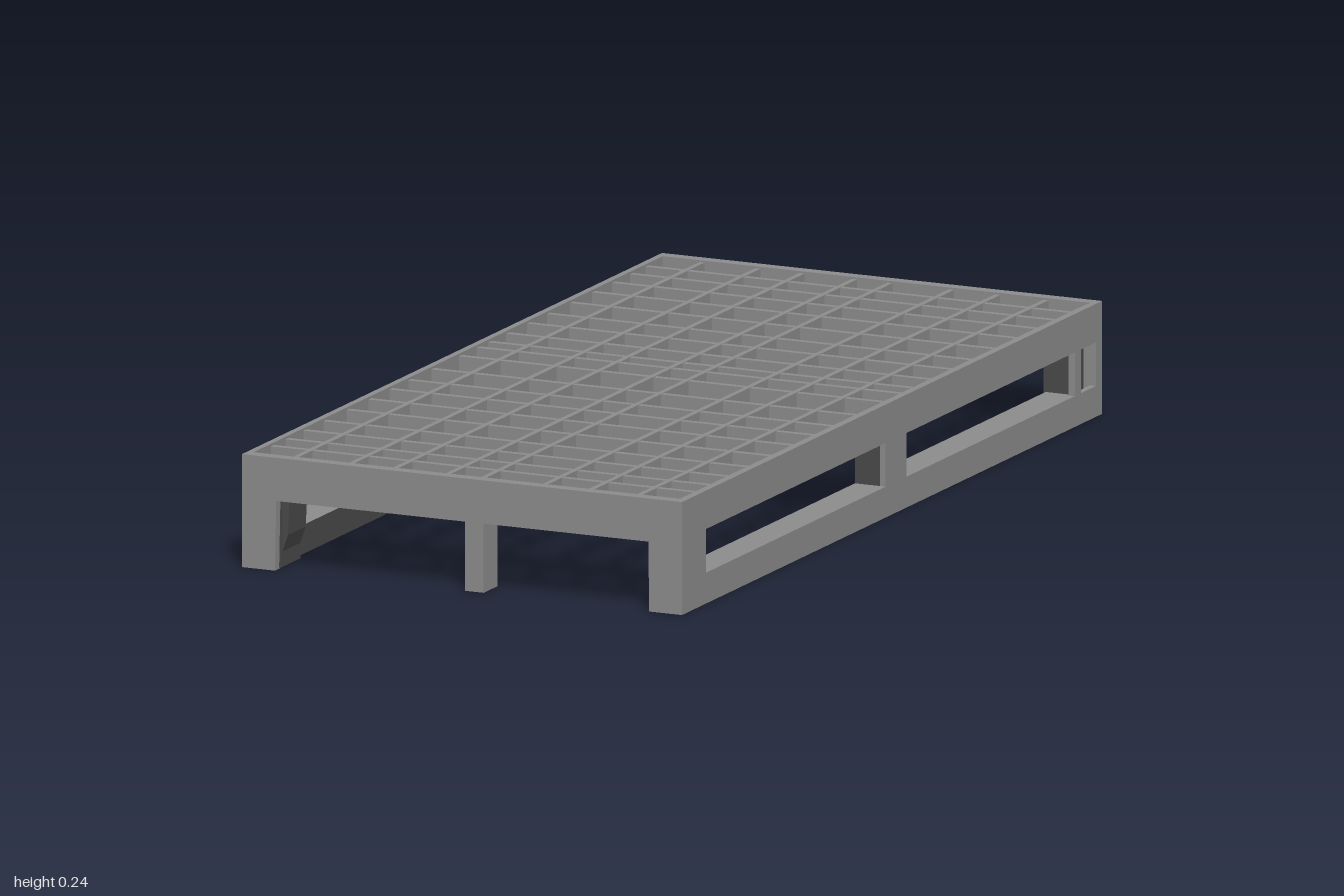
import * as THREE from 'three';

export function createModel() {
  const group = new THREE.Group();
  group.name = 'pallet';
  const grey = new THREE.MeshStandardMaterial({ color: 0x8c8c8c });
  grey.name = 'grey plastic';
  const dark = new THREE.MeshStandardMaterial({ color: 0x4a4a4a });
  dark.name = 'dark inner plastic';
  // face order: +x, -x, +y, -y, +z, -z
  const darkBelow = [grey, grey, grey, dark, grey, grey];
  const greyTop = [dark, dark, grey, dark, dark, dark];

  const add = (name, geometry, material = grey) => {
    const mesh = new THREE.Mesh(geometry, material);
    mesh.name = name;
    group.add(mesh);
  };
  // box given by its limits on each axis
  const box = (name, x0, x1, y0, y1, z0, z1, material) => {
    const g = new THREE.BoxGeometry(x1 - x0, y1 - y0, z1 - z0);
    g.translate((x0 + x1) / 2, (y0 + y1) / 2, (z0 + z1) / 2);
    add(name, g, material);
  };
  const outline = (points) => points.map(([a, b]) => new THREE.Vector2(a, b));
  const rect = (a0, a1, b0, b1) =>
    new THREE.Path(outline([[a0, b0], [a0, b1], [a1, b1], [a1, b0]]));

  const TOP = 0.238, RIB_TOP = 0.234, RIB_LOW = 0.195, UNDER = 0.147, RAIL = 0.157, RUN = 0.065;

  // end walls with two corner legs; cut edges are dark
  for (const s of [1, -1]) {
    const shape = new THREE.Shape(outline([
      [-0.5, 0], [-0.425, 0], [-0.422, UNDER], [0.424, UNDER],
      [0.425, 0], [0.5, 0], [0.5, TOP], [-0.5, TOP],
    ]));
    const g = new THREE.ExtrudeGeometry(shape, { depth: 0.026, bevelEnabled: false });
    g.translate(0, 0, s > 0 ? 0.974 : -1);
    add(s > 0 ? 'frontWall' : 'backWall', g);
  }

  // long side walls with fork windows and leg openings
  for (const s of [1, -1]) {
    const shape = new THREE.Shape(outline([[-0.99, 0], [0.99, 0], [0.99, TOP], [-0.99, TOP]]));
    shape.holes.push(rect(0.03, 0.885, RUN, RAIL), rect(-0.87, -0.07, RUN, RAIL));
    shape.holes.push(rect(-0.97, -0.9, RUN, RAIL));
    if (s < 0) shape.holes.push(rect(0.905, 0.97, RUN, RAIL));
    const g = new THREE.ExtrudeGeometry(shape, { depth: 0.014, bevelEnabled: false });
    g.rotateY(-Math.PI / 2);
    g.translate(s > 0 ? 0.5 : -0.486, 0, 0);
    add(s > 0 ? 'leftSideWall' : 'rightSideWall', g);

    // bottom runner and inner leg walls
    const span = (a, b) => (s > 0 ? [a, b] : [-b, -a]);
    box('runner', ...span(0.43, 0.487), 0.004, RUN, -0.89, 0.89, greyTop);
    box('middleSideLeg', ...span(0.43, 0.487), RUN, RAIL + 0.01, -0.07, 0.03, greyTop);
    for (const e of [1, -1]) {
      const zs = (a, b) => (e > 0 ? [a, b] : [-b, -a]);
      box('innerLegWall', ...span(0.422, 0.432), 0.002, RIB_LOW, ...zs(0.885, 0.98), dark);
      box('crossLegWall', ...span(0.425, 0.487), 0.002, RIB_LOW, ...zs(0.878, 0.89), dark);
      box('legDivider', ...span(0.43, 0.487), 0.002, RIB_LOW, ...zs(0.93, 0.938), dark);
      if (s < 0) box('legFloor', ...span(0.43, 0.487), 0.008, 0.03, ...zs(0.88, 0.98), greyTop);
    }
  }
  // tapered brace on the inner side of the right legs
  const brace = new THREE.Shape(outline([[-0.427, 0.02], [-0.41, 0.07], [-0.405, 0.165], [-0.427, 0.165]]));
  for (const z of [0.885, -0.97]) {
    const g = new THREE.ExtrudeGeometry(brace, { depth: 0.085, bevelEnabled: false });
    g.translate(0, 0, z);
    add('legBrace', g, dark);
  }

  // centre legs under the deck
  for (const e of [1, -1]) {
    const zs = (a, b) => (e > 0 ? [a, b] : [-b, -a]);
    box('centreEndLeg', 0.005, 0.047, 0, RIB_LOW, ...zs(0.93, 0.995));
    box('centreLegCap', -0.035, 0.025, 0.155, 0.17, ...zs(0.83, 0.96), darkBelow);
  }
  box('centreMiddlePost', 0.005, 0.046, 0.002, 0.17, 0.075, 0.11, dark);
  box('centreMiddlePost', 0.005, 0.046, 0.002, 0.17, -0.1, -0.065, dark);
  box('centreMiddleWeb', 0.005, 0.017, 0.01, 0.17, -0.07, 0.08, dark);

  // channel beams below the grid: a floor with a wall along each edge
  for (const [name, z0, z1] of [['middleBeam', -0.115, 0.125], ['frontBeam', 0.82, 0.88],
    ['backBeam', -0.89, -0.83]]) {
    box(name, -0.488, 0.488, 0.158, 0.17, z0, z1, darkBelow);
    for (const z of [z0, z1]) {
      box(name + 'Wall', -0.488, 0.488, 0.157, 0.2, z - 0.006, z + 0.006, darkBelow);
    }
  }

  // deck grid ribs
  const ribX = [-0.397, -0.27, -0.17, -0.05, 0.03, 0.17, 0.275, 0.385, 0.482];
  ribX.forEach((x) => box('lengthRib', x - 0.006, x + 0.006, RIB_LOW, RIB_TOP, -0.98, 0.98));
  const ribZ = [-0.9, -0.825, -0.74, -0.645, -0.54, -0.43, -0.335, -0.235, -0.15, -0.095, -0.01,
    0.12, 0.23, 0.32, 0.42, 0.525, 0.635, 0.73, 0.815, 0.885];
  ribZ.forEach((z) => box('crossRib', -0.49, 0.49, RIB_LOW, RIB_TOP - 0.001, z - 0.007, z + 0.007));

  return group;
}
